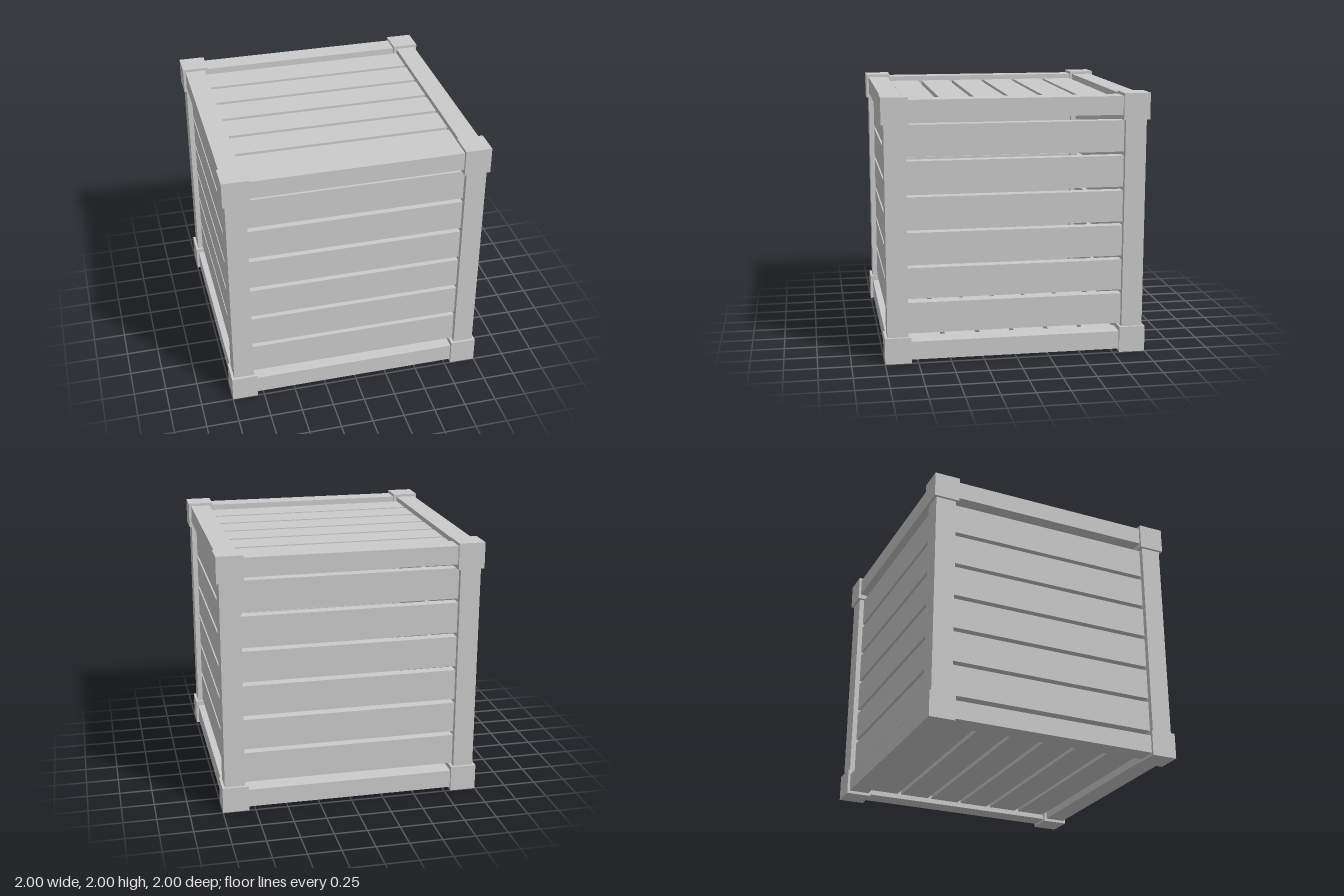
import * as THREE from 'three';

export function createModel() {
  const crate = new THREE.Group();
  crate.name = 'slattedCrate';
  const material = new THREE.MeshStandardMaterial({ color: 0xcccccc, flatShading: true });

  const group = (name) => {
    const g = new THREE.Group();
    g.name = name;
    crate.add(g);
    return g;
  };
  const box = (parent, name, size, position) => {
    const mesh = new THREE.Mesh(new THREE.BoxGeometry(...size), material);
    mesh.name = name;
    mesh.position.set(...position);
    parent.add(mesh);
  };

  const corners = group('cornerBlocks');
  const posts = group('posts');
  const rails = group('rails');
  const sides = [-1, 1];

  // Corner blocks, upright posts and horizontal rails
  for (const a of sides) {
    for (const b of sides) {
      for (const c of sides) box(corners, 'cornerBlock', [0.2, 0.2, 0.2], [a * 0.9, 1 + b * 0.9, c * 0.9]);
      box(posts, 'post', [0.156, 1.62, 0.16], [a * 0.902, 1, b * 0.9]);
      box(rails, 'widthRail', [1.62, 0.14, 0.16], [0, 1 + a * 0.908, b * 0.9]);
      box(rails, 'depthRail', [0.156, 0.14, 1.62], [a * 0.902, 1 + b * 0.908, 0]);
    }
  }

  // Six slats on each face, recessed between the frame members
  const count = 6, length = 1.66, width = 0.237, thickness = 0.08, inset = 0.9;
  const frontBack = group('frontAndBackSlats');
  const leftRight = group('leftAndRightSlats');
  const topBottom = group('topAndBottomSlats');
  for (let i = 0; i < count; i++) {
    const step = i - (count - 1) / 2;
    for (const s of sides) {
      box(frontBack, 'slat', [length, width, thickness], [0, 1.005 + step * 0.27, s * inset]);
      box(leftRight, 'slat', [thickness, width, length], [s * inset, 1.004 + step * 0.268, 0]);
      box(topBottom, 'slat', [length, thickness, width], [0, 1 + s * inset, -0.003 + step * 0.27]);
    }
  }
  return crate;
}
